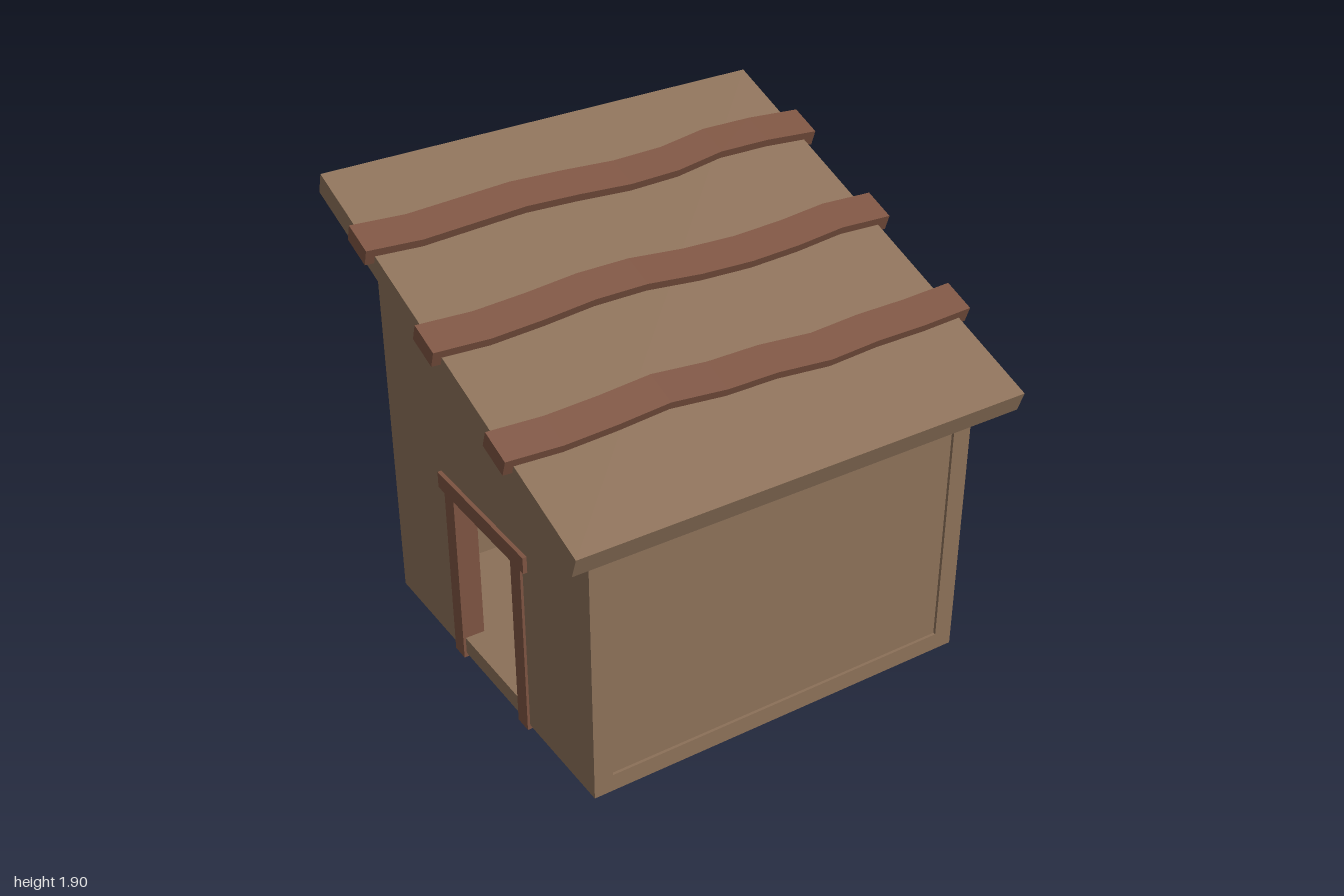
import * as THREE from 'three';

const wood = new THREE.MeshStandardMaterial({ color: 0x8b7058, flatShading: true });
const trim = new THREE.MeshStandardMaterial({ color: 0x7c5341, flatShading: true });

export function createModel() {
  const group = new THREE.Group();

  const add = (name, geometry, material) => {
    const mesh = new THREE.Mesh(geometry, material);
    mesh.name = name;
    group.add(mesh);
    return mesh;
  };
  // Box given by its lower and upper limits on each axis
  const box = (name, [x0, x1], [y0, y1], [z0, z1], material) => {
    const mesh = add(name, new THREE.BoxGeometry(x1 - x0, y1 - y0, z1 - z0), material);
    mesh.position.set((x0 + x1) / 2, (y0 + y1) / 2, (z0 + z1) / 2);
    return mesh;
  };

  const xMin = -0.826, xMax = 0.853, thick = 0.08, floorTop = 0.095;
  const inner = [xMin + thick, xMax - thick];

  // Floor, with front and back walls set in slightly between the side walls
  box('floor', inner, [0.02, floorTop], [-0.78, 0.78], wood);
  box('frontWall', inner, [floorTop, 1.25], [0.7, 0.768], wood);
  box('backWall', inner, [floorTop, 1.77], [-0.768, -0.705], wood);

  // Sloped side walls, one with a doorway (shape x runs towards the back)
  const sideWall = (name, x, doorway) => {
    const shape = new THREE.Shape([
      new THREE.Vector2(-0.78, 0.02), new THREE.Vector2(0.78, 0.02),
      new THREE.Vector2(0.78, 1.74), new THREE.Vector2(-0.78, 1.264),
    ]);
    if (doorway) {
      shape.holes.push(new THREE.Path([
        new THREE.Vector2(-0.25, floorTop), new THREE.Vector2(-0.25, 0.8),
        new THREE.Vector2(0.25, 0.8), new THREE.Vector2(0.25, floorTop),
      ]));
    }
    const geometry = new THREE.ExtrudeGeometry(shape, { depth: thick, bevelEnabled: false });
    geometry.rotateY(Math.PI / 2);
    add(name, geometry, wood).position.x = x;
  };
  sideWall('leftWall', xMax - thick, false);
  sideWall('rightWall', xMin, true);

  // Door frame
  for (const s of [-1, 1]) {
    box('doorPost', [-0.837, -0.742], [0, 0.78], [s * 0.261 - 0.037, s * 0.261 + 0.037], trim);
  }
  box('doorLintel', [-0.843, -0.738], [0.77, 0.84], [-0.335, 0.335], trim);

  // Roof slab, its top face lying in the local plane y = 0
  const angle = Math.atan2(0.65, 1.845);
  const roof = new THREE.Group();
  roof.name = 'roof';
  roof.position.set(-0.004, 1.575, 0.0175);
  roof.rotation.x = angle;
  group.add(roof);
  const slab = new THREE.Mesh(new THREE.BoxGeometry(1.92, 0.09, 1.956), wood);
  slab.name = 'roofSlab';
  slab.position.y = -0.045;
  roof.add(slab);

  // Wavy battens half sunk into the roof; z of the centre line at each step along x
  const battens = [
    [0.468, 0.479, 0.47, 0.454, 0.477, 0.478, 0.499, 0.487, 0.488, 0.48],
    [-0.031, -0.019, -0.031, -0.05, -0.049, -0.022, -0.011, -0.019, -0.039, -0.027],
    [-0.535, -0.519, -0.531, -0.543, -0.532, -0.514, -0.519, -0.553, -0.549, -0.528],
  ];
  for (const line of battens) {
    const geometry = new THREE.BoxGeometry(2, 0.07, 0.143, line.length - 1, 1, 1);
    const p = geometry.attributes.position;
    for (let i = 0; i < p.count; i++) {
      const step = Math.round((p.getX(i) + 1) / 2 * (line.length - 1));
      p.setZ(i, p.getZ(i) + (line[step] - roof.position.z) / Math.cos(angle));
    }
    geometry.computeVertexNormals();
    const batten = new THREE.Mesh(geometry, trim);
    batten.name = 'roofBatten';
    batten.position.x = -roof.position.x;
    roof.add(batten);
  }
  return group;
}
